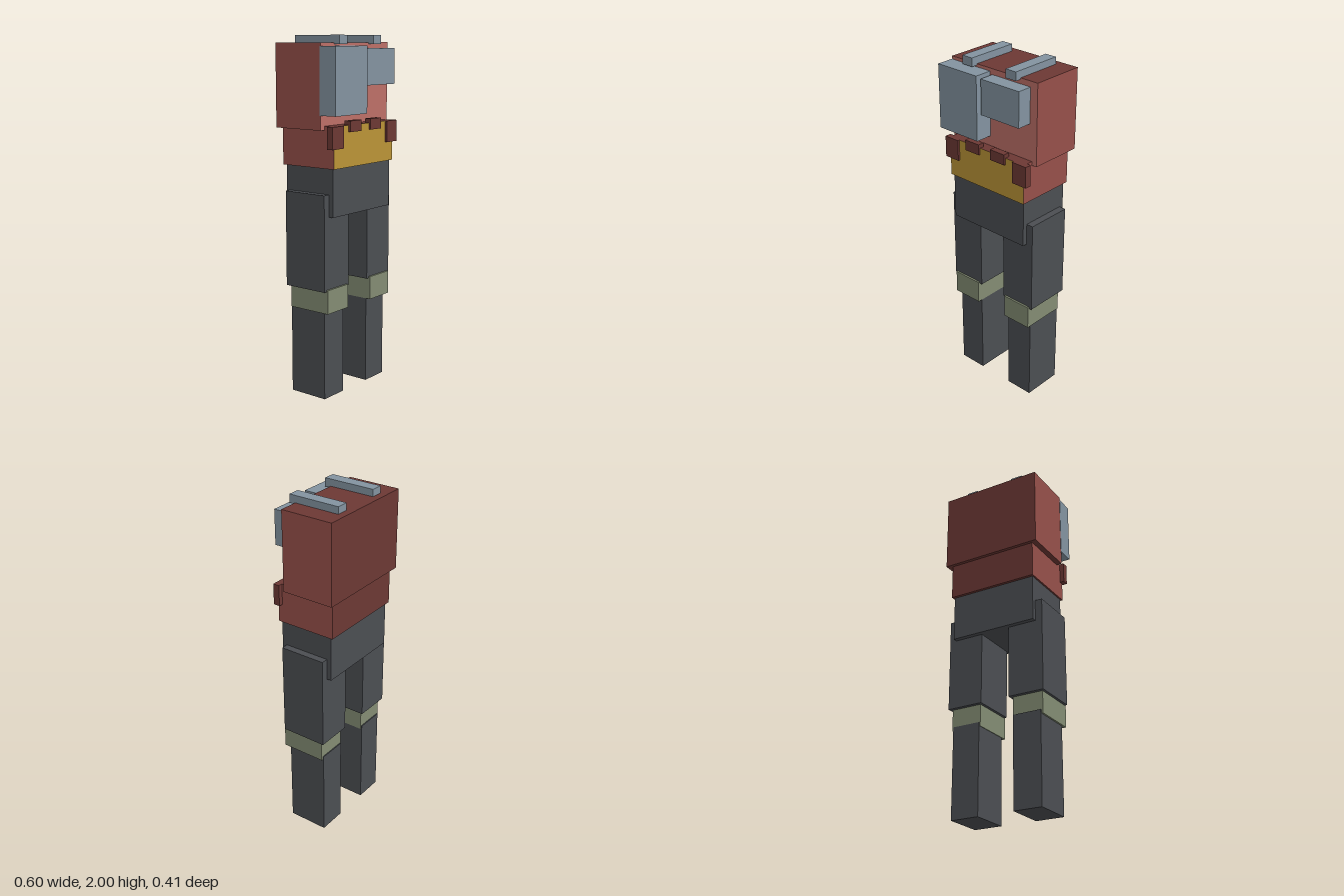
import * as THREE from 'three';

export function createModel() {
  const model = new THREE.Group();
  model.name = 'blockFigure';

  const mat = (name, color) => {
    const m = new THREE.MeshStandardMaterial({ color });
    m.name = name;
    return m;
  };
  const darkRed = mat('darkRed', 0x6c3834);
  const midRed = mat('midRed', 0x96504a);
  const paleRed = mat('paleRed', 0xbd6f67);
  const gold = mat('gold', 0xbb9437);
  const steel = mat('steelBlue', 0x8393a0);
  const charcoal = mat('charcoal', 0x4b4e52);
  const olive = mat('olive', 0x838c73);

  // Box given by its limits on each axis
  const box = (name, material, [x0, x1], [y0, y1], [z0, z1]) => {
    const mesh = new THREE.Mesh(new THREE.BoxGeometry(x1 - x0, y1 - y0, z1 - z0), material);
    mesh.position.set((x0 + x1) / 2, (y0 + y1) / 2, (z0 + z1) / 2);
    mesh.name = name;
    model.add(mesh);
  };
  // Same box on both sides of the body
  const pair = (name, material, [x0, x1], y, z) => {
    box(name + 'Left', material, [x0, x1], y, z);
    box(name + 'Right', material, [-x1, -x0], y, z);
  };
  // Face order: +x, -x, top, bottom, front, back
  const torsoFaces = (front) => [midRed, midRed, darkRed, darkRed, front, darkRed];

  // Torso
  box('chest', torsoFaces(paleRed), [-0.3, 0.3], [1.503, 1.96], [-0.207, 0.105]);
  box('abdomen', torsoFaces(gold), [-0.268, 0.268], [1.298, 1.525], [-0.188, 0.168]);
  box('hips', charcoal, [-0.258, 0.258], [1.035, 1.298], [-0.172, 0.155]);

  // Chest plates and shoulder straps
  box('largeChestPlate', steel, [-0.302, -0.025], [1.582, 1.943], [0.1, 0.206]);
  box('smallChestPlate', steel, [-0.009, 0.252], [1.731, 1.928], [0.1, 0.19]);
  pair('shoulderStrap', steel, [0.118, 0.187], [1.952, 2], [-0.166, 0.141]);

  // Belt pouches
  pair('outerPouch', darkRed, [0.198, 0.293], [1.405, 1.525], [0.142, 0.18]);
  pair('innerPouch', darkRed, [0.042, 0.141], [1.488, 1.548], [0.142, 0.18]);

  // Legs
  pair('thigh', charcoal, [0.086, 0.299], [0.624, 1.158], [-0.145, 0.127]);
  pair('kneeBand', olive, [0.103, 0.284], [0.5, 0.634], [-0.124, 0.138]);
  pair('shin', charcoal, [0.107, 0.274], [0, 0.52], [-0.13, 0.106]);

  return model;
}
